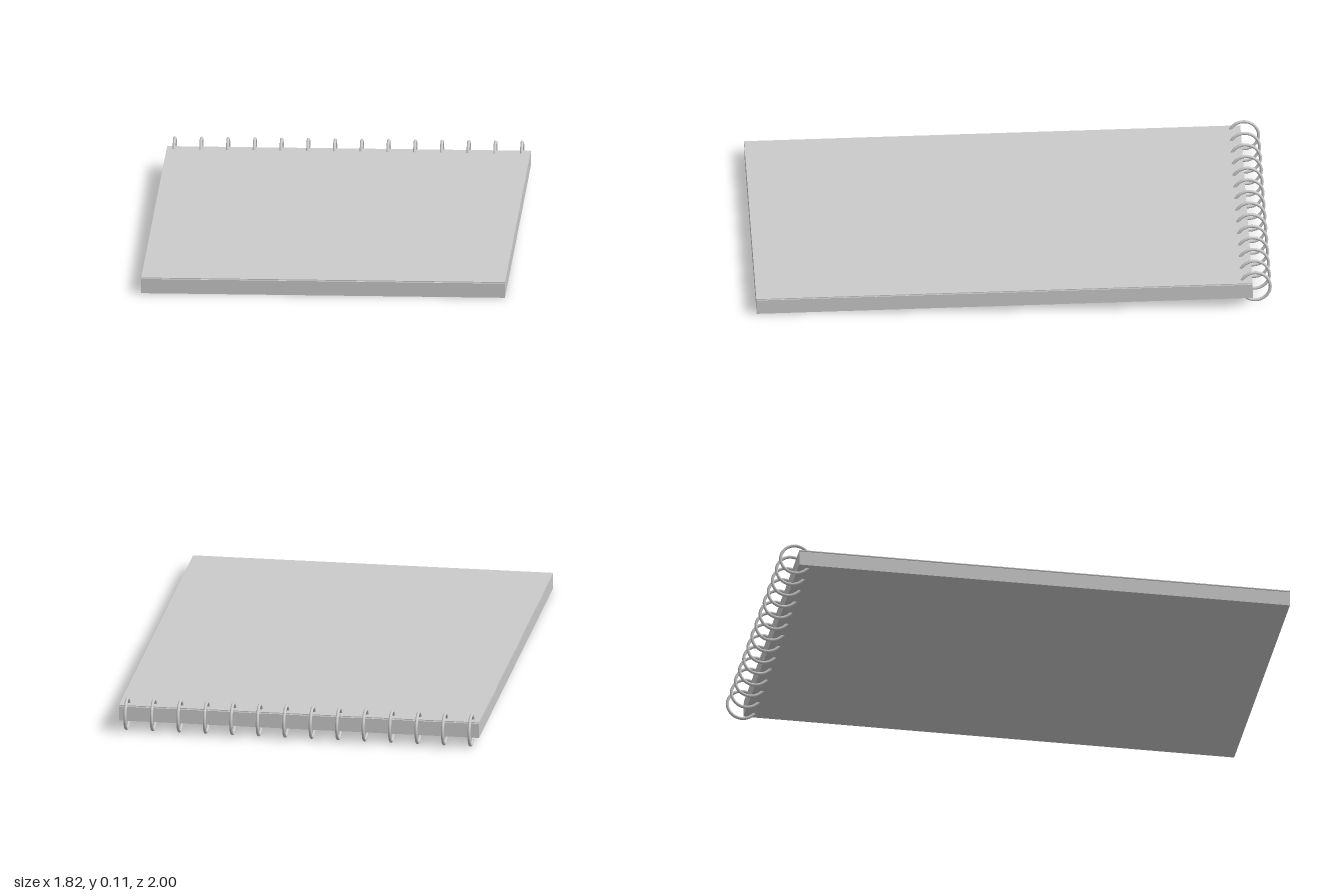
import * as THREE from 'three';

const WIDTH = 1.166, LENGTH = 1.59, RINGS = 14;

export function createModel() {
  const model = new THREE.Group();
  model.name = 'spiralNotepad';
  const paper = new THREE.MeshStandardMaterial({ color: 0xcccccc });
  const wire = new THREE.MeshStandardMaterial({ color: 0xcccccc });

  // Whole pad lies turned on the ground
  const pad = new THREE.Group();
  pad.name = 'pad';
  pad.position.set(0.003, 0, 0.015);
  pad.rotation.y = Math.PI / 6;
  model.add(pad);

  // Paper and cover lean slightly, raised at the bound edge by the rings
  const sheets = new THREE.Group();
  sheets.name = 'sheets';
  sheets.position.y = 0.0425;
  sheets.rotation.x = 0.0195;
  pad.add(sheets);

  const addSlab = (name, bottom, top) => {
    const slab = new THREE.Mesh(new THREE.BoxGeometry(WIDTH, top - bottom, LENGTH), paper);
    slab.name = name;
    slab.position.y = (top + bottom) / 2;
    sheets.add(slab);
  };
  addSlab('pageBlock', -0.026, 0.021);
  addSlab('topCover', 0.023, 0.026);

  // Row of wire rings around the bound edge
  const binding = new THREE.Group();
  binding.name = 'binding';
  pad.add(binding);
  const ringGeometry = new THREE.TorusGeometry(0.048, 0.005, 10, 40);
  ringGeometry.rotateY(Math.PI / 2);
  for (let i = 0; i < RINGS; i++) {
    const ring = new THREE.Mesh(ringGeometry, wire);
    ring.name = `ring${i + 1}`;
    ring.position.set(-0.559 + (1.114 * i) / (RINGS - 1), 0.06, -LENGTH / 2 - 0.009);
    binding.add(ring);
  }
  return model;
}
